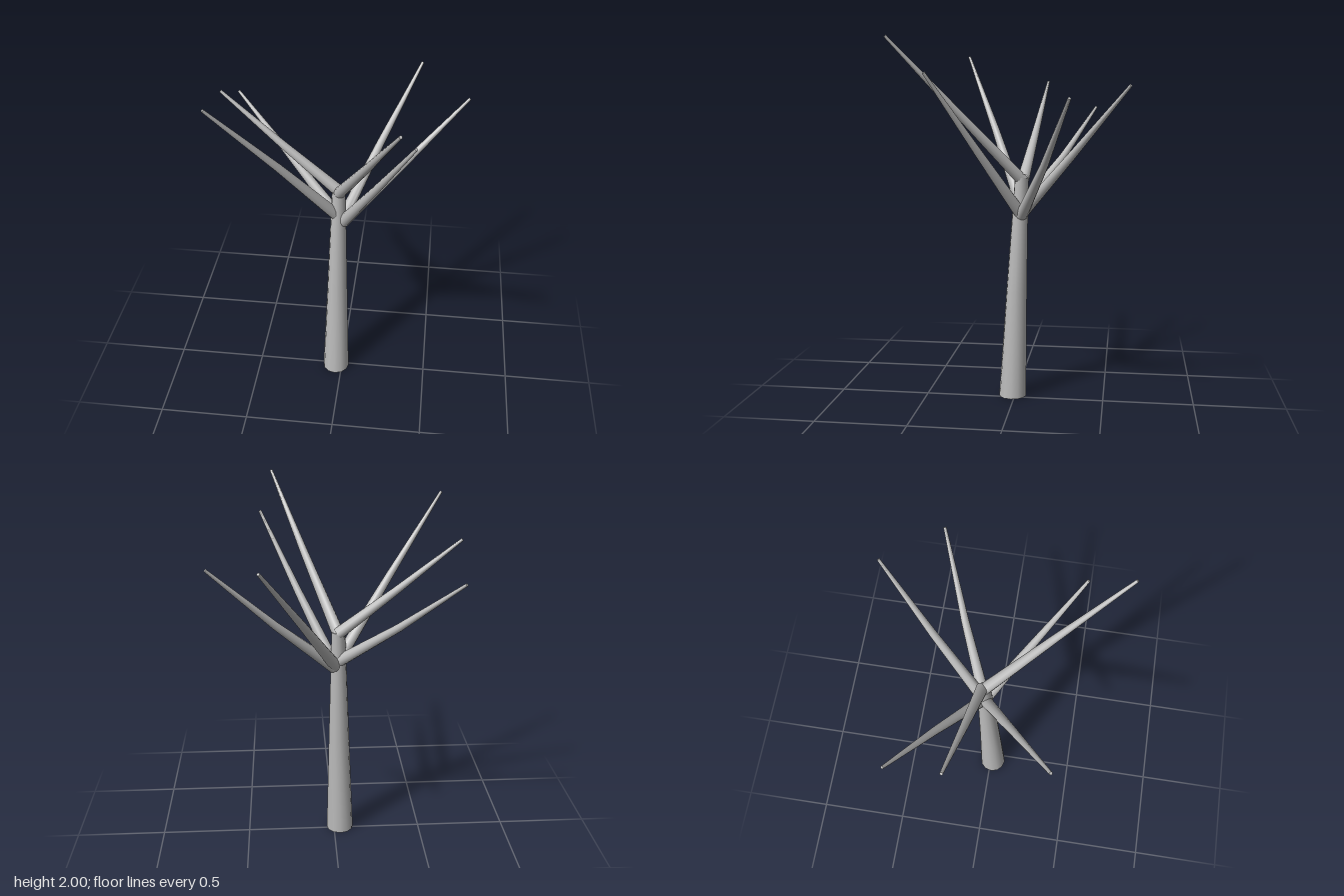
import * as THREE from 'three';
import { toCreasedNormals } from 'three/addons/utils/BufferGeometryUtils.js';

const SIDES = 12;

// Tapered limb through three centres; rings face the given axis, base is open and tip is closed.
function limbGeometry(centres, radii, axis) {
  const profile = radii.map((r, i) => new THREE.Vector2(r, i));
  profile.push(new THREE.Vector2(0, 2));
  const geometry = new THREE.LatheGeometry(profile, SIDES);
  const turn = new THREE.Quaternion().setFromUnitVectors(new THREE.Vector3(0, 1, 0), axis);
  const position = geometry.attributes.position;
  const v = new THREE.Vector3();
  for (let i = 0; i < position.count; i++) {
    v.fromBufferAttribute(position, i);
    const centre = centres[Math.round(v.y)];
    v.setY(0).applyQuaternion(turn).add(centre);
    position.setXYZ(i, v.x, v.y, v.z);
  }
  return toCreasedNormals(geometry, 0.8);
}

export function createModel() {
  const tree = new THREE.Group();
  tree.name = 'bareTree';
  const bark = new THREE.MeshStandardMaterial({ color: 0xbbbbbb, side: THREE.DoubleSide });
  bark.name = 'greyBark';

  const addLimb = (name, points, radii, axis) => {
    const centres = points.map((p) => new THREE.Vector3(...p));
    const direction = axis || centres[2].clone().sub(centres[0]).normalize();
    const mesh = new THREE.Mesh(limbGeometry(centres, radii, direction), bark);
    mesh.name = name;
    tree.add(mesh);
  };

  // Leaning trunk with level rings
  addLimb('trunk',
    [[-0.035, 0, 0.014], [-0.028, 0.62, -0.01], [-0.022, 1.25, -0.038]],
    [0.077, 0.057, 0.037], new THREE.Vector3(0, 1, 0));

  // Branches: root, joint, tip
  const branches = {
    frontTopBranch: [[-0.025, 1.23, -0.045], [0.15, 1.61, 0.285], [0.322, 1.997, 0.62]],
    frontRightBranch: [[-0.025, 1.09, -0.035], [-0.31, 1.5, 0.15], [-0.612, 1.918, 0.352]],
    rightTopBranch: [[-0.02, 1.245, -0.048], [-0.32, 1.49, -0.085], [-0.648, 1.77, -0.126]],
    backRightBranch: [[-0.02, 1.08, -0.04], [-0.32, 1.34, -0.24], [-0.622, 1.62, -0.418]],
    frontLeftBranch: [[-0.005, 1.05, -0.035], [0.185, 1.41, 0.175], [0.388, 1.812, 0.408]],
    backLeftBranch: [[-0.01, 1.05, -0.04], [0.18, 1.4, -0.335], [0.378, 1.75, -0.622]],
    leftBranch: [[0, 1.045, -0.04], [0.31, 1.345, -0.192], [0.642, 1.69, -0.34]],
  };
  for (const [name, points] of Object.entries(branches)) {
    addLimb(name, points, [0.033, 0.021, 0.008]);
  }
  return tree;
}
